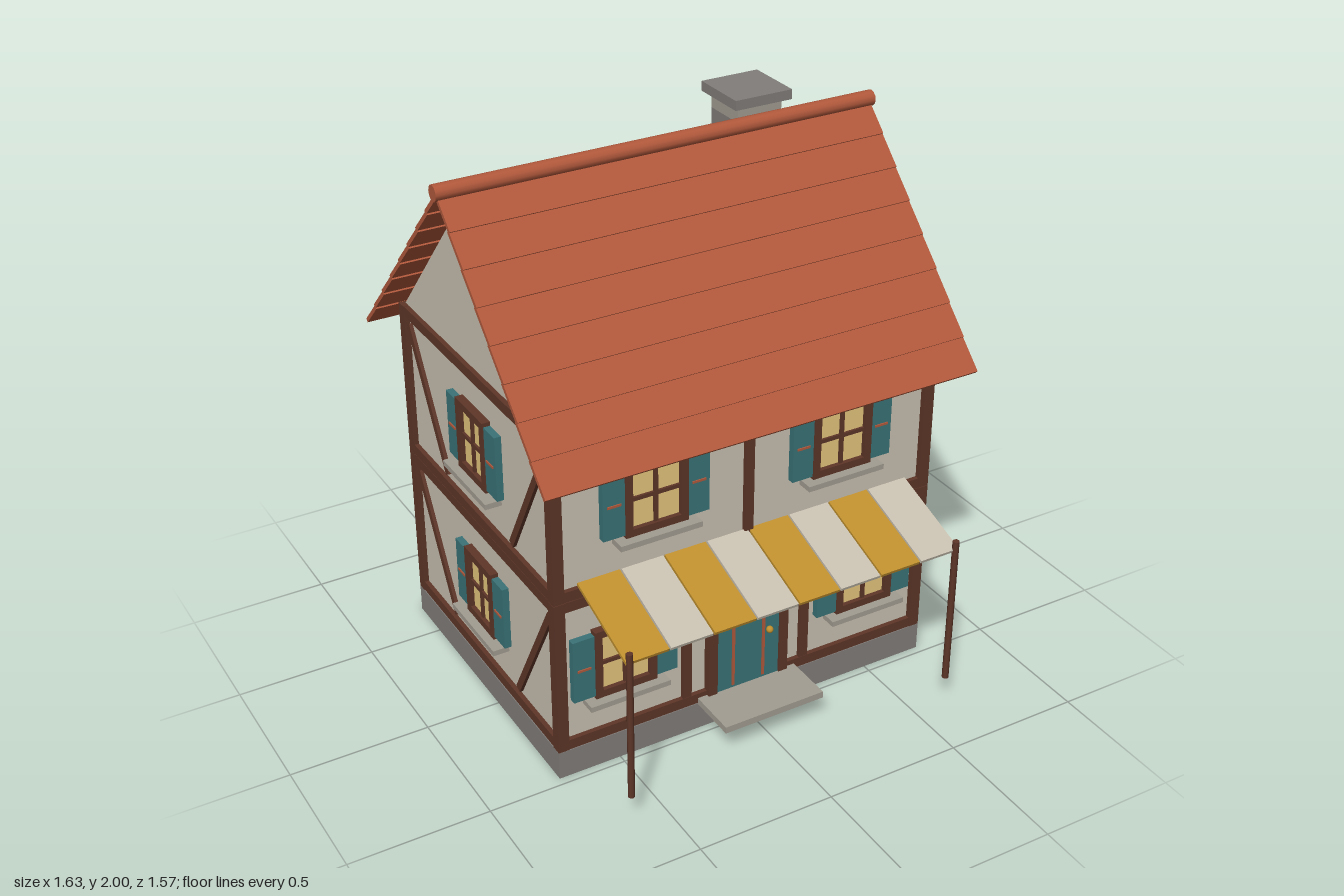
import * as THREE from 'three';

const mat = (name, color) => {
  const m = new THREE.MeshStandardMaterial({ color });
  m.name = name;
  return m;
};

const ZC = -0.095; // z of the ridge and the middle of the house

export function createModel() {
  const house = new THREE.Group();
  house.name = 'timberHouse';
  const plaster = mat('plaster', 0xc9c0b0);
  const timber = mat('timber', 0x5e3628);
  const tile = mat('roofTile', 0xb2593c);
  const stone = mat('stone', 0x827e7b);
  const paleStone = mat('paleStone', 0xa39d92);
  const teal = mat('tealPaint', 0x3a7377);
  const glass = mat('litGlass', 0xe6c67e);
  const ochre = mat('ochre', 0xc0902e);

  const add = (parent, name, geo, material, x = 0, y = 0, z = 0) => {
    const m = new THREE.Mesh(geo, material);
    m.name = name;
    m.position.set(x, y, z);
    parent.add(m);
    return m;
  };
  // box from its centre and size
  const box = (parent, name, material, x, y, z, w, h, d) =>
    add(parent, name, new THREE.BoxGeometry(w, h, d), material, x, y, z);

  // foundation and walls
  box(house, 'foundation', stone, 0, 0.0525, ZC, 1.46, 0.105, 1.13);
  box(house, 'walls', plaster, 0, 0.695, ZC, 1.42, 1.18, 1.09);

  // gable prism under the roof
  const tri = new THREE.Shape([
    new THREE.Vector2(-0.555, 1.28), new THREE.Vector2(0.555, 1.28), new THREE.Vector2(0, 1.885),
  ]);
  const gableGeo = new THREE.ExtrudeGeometry(tri, { depth: 1.42, bevelEnabled: false });
  gableGeo.translate(0, 0, -0.71);
  add(house, 'gables', gableGeo, plaster, 0, 0, ZC).rotation.y = Math.PI / 2;

  // window facing +z, origin at its centre on the wall surface
  const makeWindow = (w, sillW) => {
    const g = new THREE.Group();
    g.name = 'window';
    const h = 0.265, t = 0.027;
    box(g, 'pane', glass, 0, 0, 0.005, w - t, h - t, 0.016);
    for (const s of [-1, 1]) {
      box(g, 'frameSide', timber, s * (w - t) / 2, 0, 0.012, t, h, 0.036);
      box(g, 'frameRail', timber, 0, s * (h - t) / 2, 0.012, w, t, 0.035);
      const x = s * (w / 2 + 0.04);
      box(g, 'shutter', teal, x, -0.002, 0.01, 0.08, 0.24, 0.03);
      box(g, 'shutterBatten', tile, x, 0, 0.026, 0.05, 0.008, 0.006);
    }
    box(g, 'mullion', timber, 0, 0, 0.012, 0.014, h - t, 0.02);
    box(g, 'transom', timber, 0, 0, 0.012, w - t, 0.014, 0.019);
    box(g, 'sill', paleStone, 0, -0.144, 0.025, sillW, 0.02, 0.07);
    return g;
  };

  // timber frame and windows, one storey at a time
  [0.105, 0.695].forEach((y0, floor) => {
    const storey = new THREE.Group();
    storey.name = floor ? 'upperStorey' : 'lowerStorey';
    storey.position.y = y0;
    house.add(storey);
    for (const sx of [-1, 1]) {
      for (const sz of [-1, 1]) {
        box(storey, 'cornerPost', timber, sx * 0.71, 0.295, ZC + sz * 0.545, 0.04, 0.588, 0.04);
        // diagonal brace on the side wall
        const top = [0.525, ZC + sz * 0.515], foot = [0.058, ZC + sz * 0.25];
        const dy = top[0] - foot[0], dz = top[1] - foot[1];
        const brace = box(storey, 'brace', timber, sx * 0.71, (top[0] + foot[0]) / 2,
          (top[1] + foot[1]) / 2, 0.026, Math.hypot(dy, dz), 0.028);
        brace.rotation.x = Math.atan2(dz, dy);
      }
      for (const y of [0.019, 0.569]) {
        box(storey, 'sideBeam', timber, sx * 0.71, y, ZC, 0.034, 0.038, 1.07);
        box(storey, 'longBeam', timber, 0, y, ZC + sx * 0.545, 1.4, 0.038, 0.034);
      }
      const side = makeWindow(0.21, 0.33);
      side.position.set(sx * 0.71, 0.31, ZC);
      side.rotation.y = sx * Math.PI / 2;
      storey.add(side);

      const front = makeWindow(0.23, 0.3);
      front.position.set(sx * (floor ? 0.355 : 0.475), 0.31, 0.45);
      storey.add(front);
    }
    for (const x of floor ? [0] : [-0.235, 0.235])
      box(storey, 'frontPost', timber, x, 0.294, 0.45, 0.033, 0.52, 0.032);
  });

  // arched door
  const door = new THREE.Group();
  door.name = 'door';
  house.add(door);
  const leaf = new THREE.Shape();
  leaf.moveTo(-0.125, 0.115);
  leaf.lineTo(0.125, 0.115);
  leaf.lineTo(0.125, 0.56);
  leaf.absarc(0, 0.56, 0.125, 0, Math.PI, false);
  leaf.closePath();
  add(door, 'doorLeaf', new THREE.ExtrudeGeometry(leaf, { depth: 0.025, bevelEnabled: false, curveSegments: 12 }),
    teal, 0, 0, 0.449);
  for (const s of [-1, 1]) {
    box(door, 'doorJamb', timber, s * 0.141, 0.35, 0.46, 0.035, 0.47, 0.04);
    box(door, 'doorBatten', tile, s * 0.06, 0.31, 0.475, 0.01, 0.345, 0.008);
  }
  add(door, 'doorKnob', new THREE.SphereGeometry(0.013, 12, 8), ochre, 0.08, 0.325, 0.485);
  box(house, 'doorStep', paleStone, 0, 0.113, 0.56, 0.39, 0.025, 0.185);

  // striped awning on two posts
  const awning = new THREE.Group();
  awning.name = 'awning';
  house.add(awning);
  const run = 0.32, drop = 0.11;
  for (let i = 0; i < 8; i++) {
    const strip = box(awning, 'awningStripe', i % 2 ? plaster : ochre, -0.56 + i * 0.16, 0.688, 0.615,
      0.154, 0.012, Math.hypot(run, drop));
    strip.rotation.x = Math.atan2(drop, run);
  }
  for (const s of [-1, 1])
    add(awning, 'awningPost', new THREE.CylinderGeometry(0.012, 0.012, 0.565, 8), timber, s * 0.625, 0.388, 0.775);

  // roof: eight overlapping tile courses on each slope
  const slope = Math.atan2(0.735, 0.685), length = 1.0, courses = 8;
  for (const s of [0, 1]) {
    const side = new THREE.Group();
    side.name = s ? 'backRoofSlope' : 'frontRoofSlope';
    side.position.set(0, 1.912, ZC);
    side.rotation.y = s * Math.PI;
    house.add(side);
    for (let i = 0; i < courses; i++) {
      const d = (i + 0.5) * length / courses;
      const course = box(side, 'tileCourse', tile, 0, -Math.sin(slope) * d, Math.cos(slope) * d,
        1.61, 0.015, length / courses + 0.008);
      course.rotation.x = slope - 0.045;
    }
  }
  add(house, 'ridgeCap', new THREE.CylinderGeometry(0.028, 0.028, 1.63, 12), tile, 0, 1.92, ZC)
    .rotation.z = Math.PI / 2;

  // chimney
  const chimney = new THREE.Group();
  chimney.name = 'chimney';
  chimney.position.set(0.397, 0, -0.228);
  house.add(chimney);
  box(chimney, 'chimneyStack', stone, 0, 1.755, 0, 0.17, 0.31, 0.17);
  box(chimney, 'chimneyCollar', paleStone, 0, 1.937, 0, 0.17, 0.055, 0.17);
  box(chimney, 'chimneyCap', stone, 0, 1.9825, 0, 0.22, 0.035, 0.22);

  return house;
}
